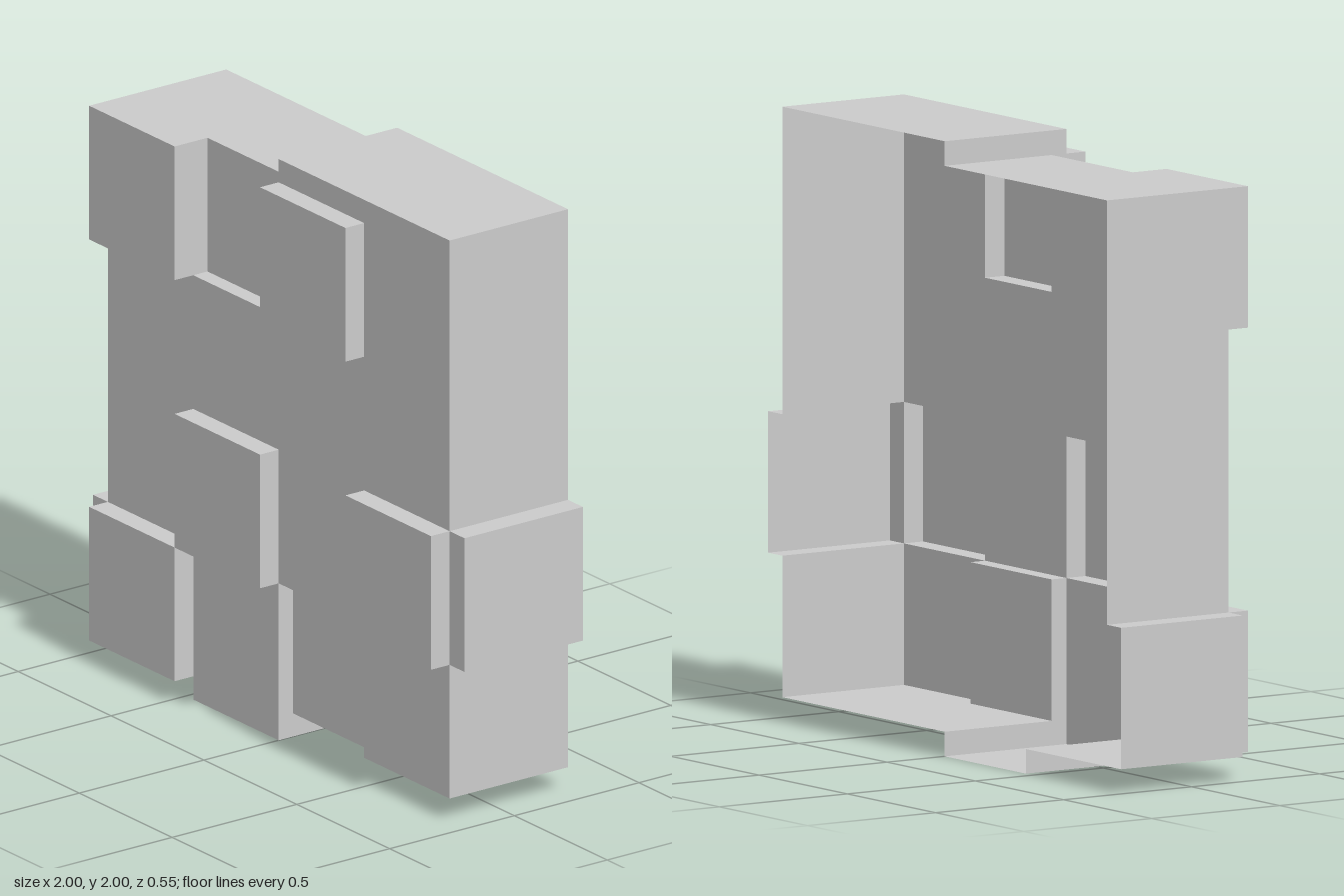
import * as THREE from 'three';

// Grid lines: four blocks across and up, with a thin rim for the shifted edge blocks
const X = [-1, -0.92, -0.46, 0, 0.46, 0.92, 1];
const Y = [0, 0.08, 0.54, 1, 1.46, 1.92, 2];
const Z = [-0.275, 0.143, 0.2, 0.275];
const LINES = [X, Y, Z];

// Depth layers of each front block, bottom row first: 1 sunk, 2 flush, 3 raised
const DEPTH = [
  [3, 2, 1, 2],
  [2, 3, 2, 3],
  [2, 2, 2, 2],
  [3, 1, 3, 2],
];

// Whether a grid cell lies inside the block relief
function filled([i, j, k]) {
  if (k < 0 || k > 2) return false;
  const col = i - 1, row = j - 1;
  const inCol = col >= 0 && col < 4, inRow = row >= 0 && row < 4;
  if (inCol && inRow) return k < DEPTH[row][col];
  if (k > 1) return false;
  if (inRow) return (i === 0 && row === 0) || (i === 5 && row === 1);
  if (inCol) return (j === 0 && col === 1) || (j === 5 && col >= 2);
  return false;
}

// All exposed cell faces looking along one axis direction
function facing(axis, sign) {
  const b = (axis + 1) % 3, c = (axis + 2) % 3;
  const positions = [];
  for (let i = 0; i < 6; i++) for (let j = 0; j < 6; j++) for (let k = 0; k < 3; k++) {
    const cell = [i, j, k];
    const next = [...cell];
    next[axis] += sign;
    if (!filled(cell) || filled(next)) continue;
    const corner = (db, dc) => {
      const p = [0, 0, 0];
      p[axis] = LINES[axis][cell[axis] + (sign > 0 ? 1 : 0)];
      p[b] = LINES[b][cell[b] + db];
      p[c] = LINES[c][cell[c] + dc];
      return p;
    };
    const q = [corner(0, 0), corner(1, 0), corner(1, 1), corner(0, 1)];
    if (sign < 0) q.reverse();
    for (const n of [0, 1, 2, 0, 2, 3]) positions.push(...q[n]);
  }
  const geometry = new THREE.BufferGeometry();
  geometry.setAttribute('position', new THREE.Float32BufferAttribute(positions, 3));
  geometry.computeVertexNormals();
  return geometry;
}

export function createModel() {
  const group = new THREE.Group();
  group.name = 'blockWallShell';
  const material = new THREE.MeshStandardMaterial({
    color: 0xcccccc, flatShading: true, side: THREE.DoubleSide,
  });
  // Thin shell, open at the back
  const parts = [
    ['frontBlocks', 2, 1],
    ['leftWall', 0, 1],
    ['rightWall', 0, -1],
    ['topWall', 1, 1],
    ['bottomWall', 1, -1],
  ];
  for (const [name, axis, sign] of parts) {
    const mesh = new THREE.Mesh(facing(axis, sign), material);
    mesh.name = name;
    group.add(mesh);
  }
  return group;
}
